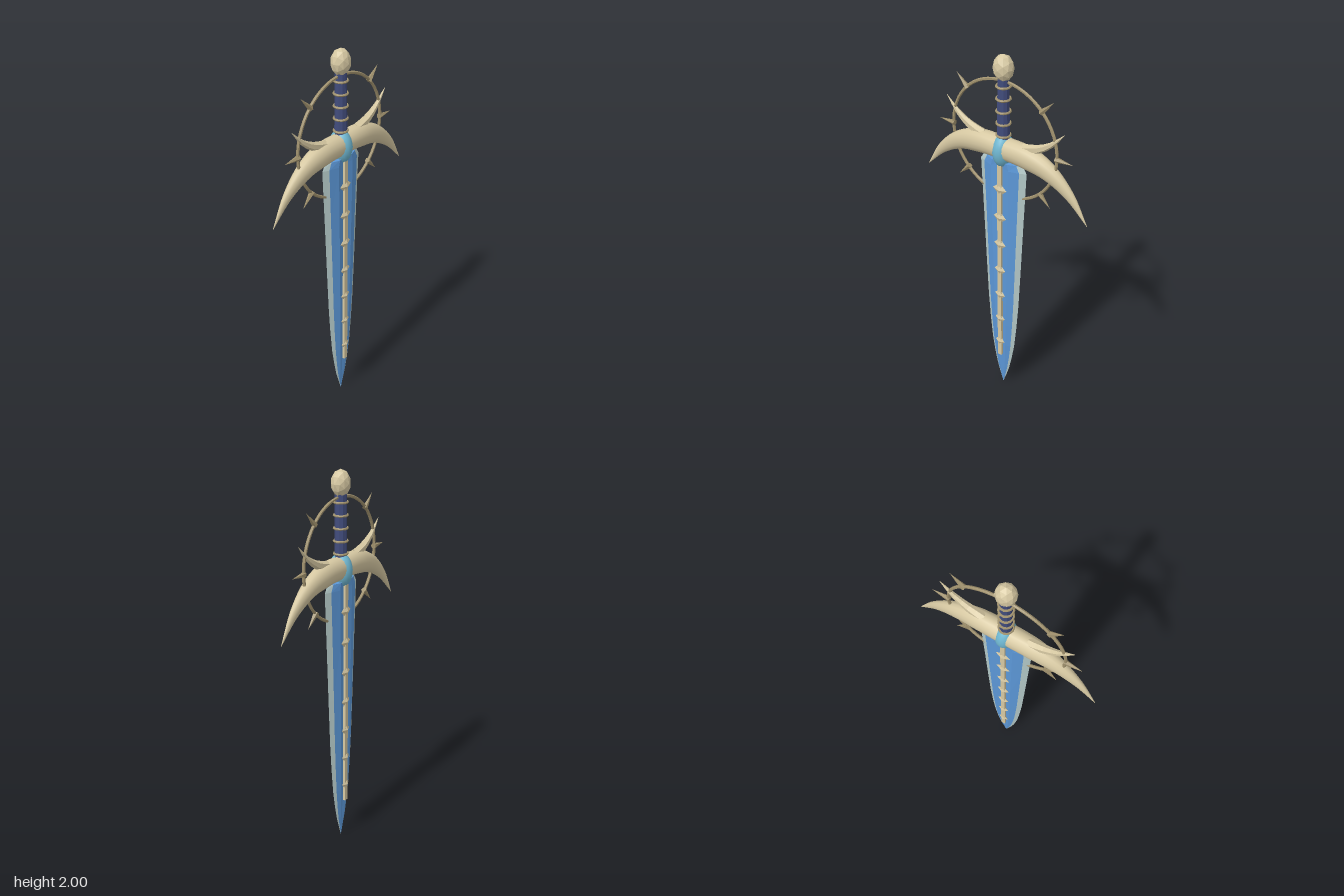
import * as THREE from 'three';

const mat = (name, color, flat = true) => {
  const m = new THREE.MeshStandardMaterial({ color, flatShading: flat });
  m.name = name;
  return m;
};

// Skin closed rings of points; bands may be picked by the keep(j) test, ends are capped with fans.
function loft(rings, keep = () => true, caps = true) {
  const n = rings[0].length, pos = [], idx = [];
  rings.forEach(r => r.forEach(p => pos.push(p.x, p.y, p.z)));
  for (let i = 0; i < rings.length - 1; i++) {
    for (let j = 0; j < n; j++) {
      if (!keep(j)) continue;
      const k = (j + 1) % n, a = i * n + j, b = i * n + k;
      idx.push(a, b, b + n, a, b + n, a + n);
    }
  }
  if (caps) {
    const last = (rings.length - 1) * n;
    for (let j = 1; j < n - 1; j++) idx.push(0, j + 1, j, last, last + j, last + j + 1);
  }
  const g = new THREE.BufferGeometry();
  g.setAttribute('position', new THREE.Float32BufferAttribute(pos, 3));
  g.setIndex(idx);
  g.computeVertexNormals();
  return g;
}

// Tapered horn along a curve in the xy plane; each station is [x, y, radius, depth radius].
function horn(stations, steps, sides) {
  const path = new THREE.CatmullRomCurve3(stations.map(s => new THREE.Vector3(s[0], s[1], 0)));
  const size = new THREE.CatmullRomCurve3(stations.map(s => new THREE.Vector3(s[2], s[3], 0)));
  const rings = [];
  for (let i = 0; i <= steps; i++) {
    const t = i / steps, c = path.getPoint(t), d = path.getTangent(t), r = size.getPoint(t);
    rings.push(Array.from({ length: sides }, (_, j) => {
      const a = j / sides * Math.PI * 2, u = Math.cos(a) * r.x;
      return new THREE.Vector3(c.x - d.y * u, c.y + d.x * u, Math.sin(a) * r.y);
    }));
  }
  return loft(rings);
}

export function createModel() {
  const root = new THREE.Group();
  root.name = 'sword';
  const bone = mat('bone', 0xd6c8a2);
  const boneSmooth = bone.clone();
  boneSmooth.flatShading = false;
  const darkBone = mat('dark bone', 0xa0916d);
  const blue = mat('blade blue', 0x5c98d8);
  const edge = mat('pale edge', 0xb6cbca);
  const navy = mat('grip navy', 0x414c7c);
  const teal = mat('gem teal', 0x6fb6d0, false);

  const add = (name, geo, material, x = 0, y = 0, z = 0, parent = root) => {
    const m = new THREE.Mesh(geo, material);
    m.name = name;
    m.position.set(x, y, z);
    parent.add(m);
    return m;
  };

  // Blade: [height, half width, half depth], with a shallow central groove
  const sections = [
    [0, 0.001, 0.001], [0.06, 0.021, 0.005], [0.12, 0.039, 0.01], [0.2, 0.056, 0.015],
    [0.3, 0.073, 0.021], [0.45, 0.088, 0.025], [0.6, 0.099, 0.028], [0.85, 0.111, 0.03],
    [1.15, 0.124, 0.031], [1.43, 0.137, 0.032], [1.465, 0.115, 0.032],
  ];
  const half = [[-1, 0], [-0.76, 0.5], [-0.38, 1], [0, 0.7], [0.38, 1], [0.76, 0.5]];
  const outline = [...half, ...half.map(([x, z]) => [-x, -z])];
  const rings = sections.map(([y, w, d]) => outline.map(([x, z]) => new THREE.Vector3(x * w, y, z * d)));
  const isEdge = j => j % 6 === 0 || j % 6 === 5;
  add('blade', loft(rings, j => !isEdge(j)), blue);
  add('bladeEdge', loft(rings, isEdge, false), edge);

  // Spine bar and vertebrae on both faces
  for (const s of [1, -1]) {
    const spine = new THREE.Group();
    spine.name = s > 0 ? 'frontSpine' : 'backSpine';
    root.add(spine);
    add('spineBar', new THREE.BoxGeometry(0.024, 1.22, 0.014), bone, 0, 0.84, s * 0.029, spine);
    for (let i = 0; i < 7; i++) {
      const v = add('vertebra', new THREE.OctahedronGeometry(1), bone, 0, 0.33 + i * 0.1635, s * 0.03, spine);
      v.scale.set(0.029 + i * 0.002, 0.036, 0.015);
    }
  }

  // Curved crossguard, one sweep from tip to tip
  const arm = [[0.14, 1.522, 0.06, 0.049], [0.26, 1.487, 0.048, 0.036], [0.38, 1.403, 0.027, 0.018], [0.484, 1.275, 0.001, 0.001]];
  const guard = [
    ...arm.map(([x, ...r]) => [-x, ...r]).reverse(),
    [0, 1.527, 0.058, 0.052],
    ...arm,
  ];
  add('crossguard', horn(guard, 40, 16), boneSmooth);

  // Small upswept horns
  for (const s of [1, -1]) {
    const pts = [[0.12, 1.563, 0.026, 0.026], [0.2, 1.588, 0.021, 0.02], [0.27, 1.632, 0.013, 0.013], [0.34, 1.705, 0.001, 0.001]];
    add(s > 0 ? 'leftHorn' : 'rightHorn', horn(pts.map(([x, ...r]) => [s * x, ...r]), 6, 6), bone);
  }

  // Gem in the guard
  add('gem', new THREE.SphereGeometry(1, 20, 14), teal, 0, 1.515, 0).scale.set(0.05, 0.086, 0.062);

  // Grip with bands, and pommel
  add('grip', new THREE.CylinderGeometry(0.029, 0.031, 0.32, 10), navy, 0, 1.73, 0);
  for (let i = 0; i < 5; i++) {
    const band = add('gripBand', new THREE.TorusGeometry(0.033, 0.006, 6, 14), darkBone, 0, 1.598 + i * 0.062, 0);
    band.rotation.x = Math.PI / 2;
  }
  add('pommel', new THREE.IcosahedronGeometry(1, 1), bone, 0, 1.934, 0).scale.set(0.051, 0.066, 0.047);

  // Halo, open where it meets the blade, with radial spikes
  const halo = new THREE.Group();
  halo.name = 'halo';
  halo.position.y = 1.567;
  root.add(halo);
  const arc = Math.PI * 1.77;
  add('haloRing', new THREE.TorusGeometry(0.304, 0.008, 6, 56, arc), darkBone, 0, 0, 0, halo)
    .rotation.z = Math.PI / 2 - arc / 2;
  for (const deg of [-45, 0, 45, 135, 180, 225]) {
    const a = deg * Math.PI / 180, r = 0.344;
    add('haloSpike', new THREE.ConeGeometry(0.015, 0.095, 5), darkBone, Math.cos(a) * r, Math.sin(a) * r, 0, halo)
      .rotation.z = a - Math.PI / 2;
  }
  return root;
}
